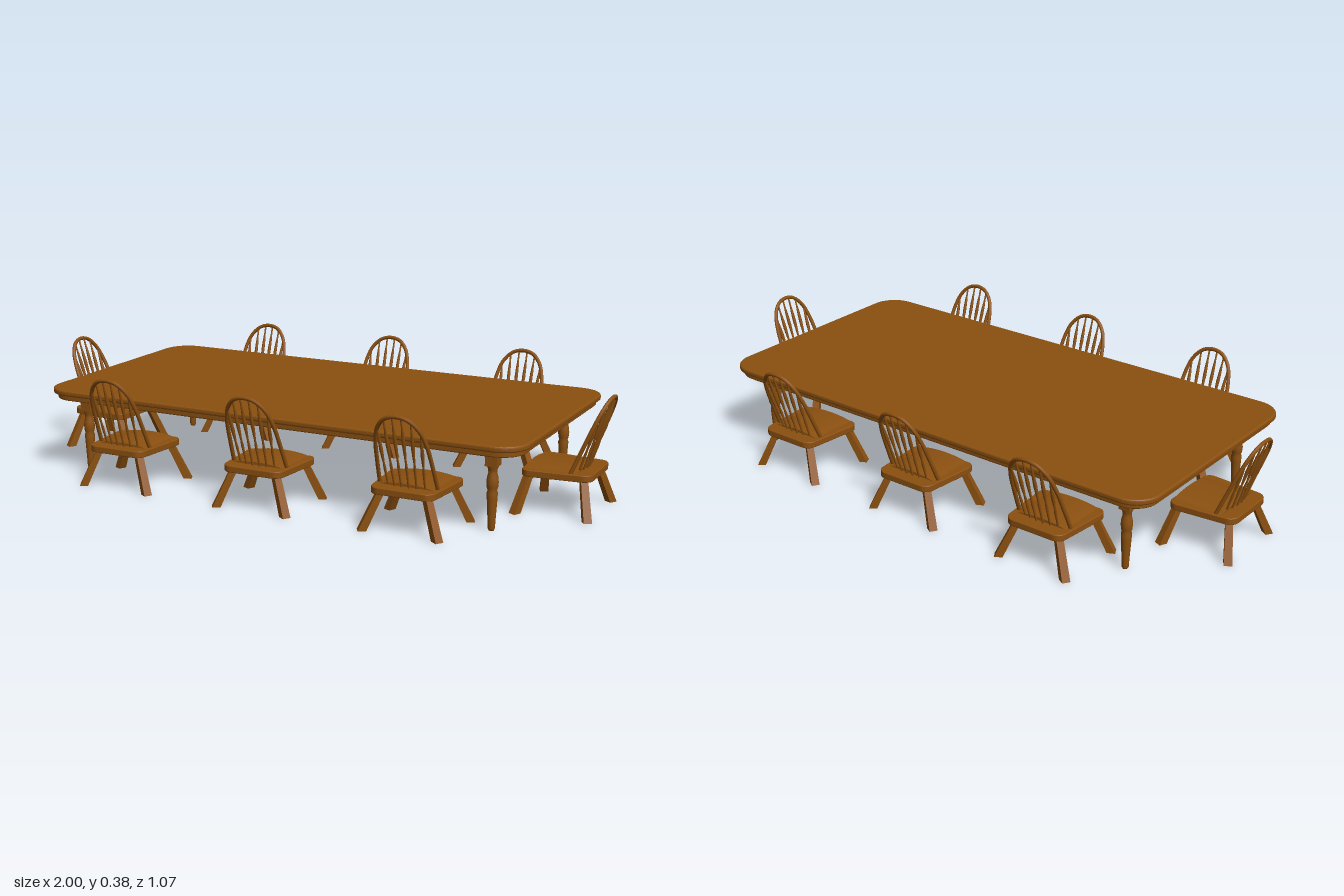
import * as THREE from 'three';

const wood = new THREE.MeshStandardMaterial({ color: 0x8b5010 });
const V = (x, y, z) => new THREE.Vector3(x, y, z);

function add(parent, name, geometry) {
  const mesh = new THREE.Mesh(geometry, wood);
  mesh.name = name;
  parent.add(mesh);
  return mesh;
}

// Rounded outline; back and front half widths may differ (y of the shape is -z)
function outline(front, back, hd, r) {
  const c = [[-back, -hd], [back, -hd], [front, hd], [-front, hd]].map(p => new THREE.Vector2(...p));
  const s = new THREE.Shape();
  c.forEach((p, i) => {
    const toward = q => p.clone().add(q.clone().sub(p).setLength(r));
    const a = toward(c[(i + 3) % 4]), b = toward(c[(i + 1) % 4]);
    if (i) s.lineTo(a.x, a.y); else s.moveTo(a.x, a.y);
    // near-circular corner
    const k = 0.55;
    const h1 = a.clone().lerp(p, k), h2 = b.clone().lerp(p, k);
    s.bezierCurveTo(h1.x, h1.y, h2.x, h2.y, b.x, b.y);
  });
  s.closePath();
  return s;
}

// Horizontal board from y0 to y1 with a rounded edge
function board(shape, y0, y1, bevel) {
  const g = new THREE.ExtrudeGeometry(shape, {
    depth: y1 - y0 - 2 * bevel, bevelEnabled: true, bevelThickness: bevel,
    bevelSize: bevel, bevelOffset: -bevel, bevelSegments: 3, curveSegments: 10,
  });
  return g.rotateX(-Math.PI / 2).translate(0, y0 + bevel, 0);
}

// Square leg slanting from foot to top, its ends cut level
function slantedLeg(foot, top, rFoot, rTop) {
  const h = top.y - foot.y;
  const g = new THREE.CylinderGeometry(rTop, rFoot, h, 4).toNonIndexed();
  g.rotateY(Math.PI / 4 + Math.atan2(foot.x - top.x, foot.z - top.z));
  const p = g.attributes.position;
  for (let i = 0; i < p.count; i++) {
    const t = p.getY(i) / h + 0.5;
    p.setXYZ(i, p.getX(i) + THREE.MathUtils.lerp(foot.x, top.x, t), foot.y + t * h,
      p.getZ(i) + THREE.MathUtils.lerp(foot.z, top.z, t));
  }
  g.computeVertexNormals();
  return g;
}

// Turned spindle between two points
function spindle(a, b) {
  const len = a.distanceTo(b);
  const profile = [[0.003, 0], [0.0035, 0.2], [0.0045, 0.3], [0.0032, 0.4], [0.0045, 0.5],
    [0.006, 0.62], [0.005, 0.76], [0.003, 0.88], [0.003, 1]]
    .map(([r, t]) => new THREE.Vector2(r, t * len));
  const g = new THREE.LatheGeometry(profile, 8);
  g.applyQuaternion(new THREE.Quaternion().setFromUnitVectors(V(0, 1, 0), b.clone().sub(a).normalize()));
  return g.translate(a.x, a.y, a.z);
}

// Chair with its back toward local +z
function chair(name) {
  const g = new THREE.Group();
  g.name = name;
  add(g, 'seat', board(outline(0.122, 0.102, 0.111, 0.03), 0.117, 0.139, 0.003));

  // Raised, gently domed top of the seat
  const dome = new THREE.Shape();
  dome.moveTo(-0.1, 0.136);
  dome.lineTo(0.1, 0.136);
  dome.quadraticCurveTo(0.06, 0.148, 0, 0.148);
  dome.quadraticCurveTo(-0.06, 0.148, -0.1, 0.136);
  add(g, 'seatDome', new THREE.ExtrudeGeometry(dome, { depth: 0.17, bevelEnabled: false, curveSegments: 8 })
    .translate(0, 0, -0.106));

  for (const s of [1, -1]) {
    add(g, 'frontLeg', slantedLeg(V(s * 0.136, 0, -0.117), V(s * 0.082, 0.122, -0.092), 0.0185, 0.016));
    add(g, 'rearLeg', slantedLeg(V(s * 0.123, 0, 0.111), V(s * 0.075, 0.122, 0.08), 0.0185, 0.016));
  }

  // Bent hoop of the back, leaning outward
  const lean = y => 0.045 + (y - 0.14) * 0.415;
  const half = [[0.095, 0.135], [0.09, 0.21], [0.082, 0.285], [0.066, 0.332], [0.036, 0.362]];
  const pts = [...half, [0, 0.37], ...half.map(([x, y]) => [-x, y]).reverse()];
  const hoop = new THREE.CatmullRomCurve3(pts.map(([x, y]) => V(x, y, lean(y))));
  add(g, 'backHoop', new THREE.TubeGeometry(hoop, 48, 0.0065, 8));

  // Six spindles fanning out to the hoop
  [[0.0145, 0.368], [0.0435, 0.357], [0.07, 0.325]].forEach(([x, y], i) => {
    const baseX = 0.012 + 0.024 * i;
    for (const s of [1, -1]) {
      add(g, 'backSpindle', spindle(V(s * baseX, 0.136, 0.07 - 3 * baseX * baseX), V(s * x, y, lean(y))));
    }
  });
  return g;
}

function table() {
  const g = new THREE.Group();
  g.name = 'table';
  add(g, 'tableTop', board(outline(0.847, 0.847, 0.423, 0.09), 0.268, 0.287, 0.006));
  add(g, 'tableTopMoulding', board(outline(0.833, 0.833, 0.41, 0.08), 0.25, 0.27, 0.004));

  // Turned legs under square blocks
  const profile = [[0, 0], [0.008, 0], [0.011, 0.006], [0.012, 0.03], [0.016, 0.1], [0.017, 0.118],
    [0.014, 0.126], [0.017, 0.134], [0.0185, 0.15], [0.017, 0.166], [0.0135, 0.18], [0.014, 0.19],
    [0.018, 0.2], [0.018, 0.206]].map(p => new THREE.Vector2(...p));
  for (const x of [-0.731, 0.731]) for (const z of [-0.327, 0.327]) {
    const leg = new THREE.Group();
    leg.name = 'tableLeg';
    leg.position.set(x, 0, z);
    add(leg, 'turnedLeg', new THREE.LatheGeometry(profile, 16));
    add(leg, 'legBlock', new THREE.BoxGeometry(0.038, 0.052, 0.038).translate(0, 0.228, 0));
    g.add(leg);
  }
  g.position.z = -0.003;
  return g;
}

export function createModel() {
  const model = new THREE.Group();
  model.name = 'diningSet';
  model.add(table());

  const place = (name, x, z, turn) => {
    const c = chair(name);
    c.position.set(x, 0, z);
    c.rotation.y = turn;
    model.add(c);
  };
  for (const x of [-0.508, 0, 0.508]) {
    place('frontChair', x, 0.39, 0);
    place('backChair', x, -0.39, Math.PI);
  }
  place('leftEndChair', 0.852, 0, Math.PI / 2);
  place('rightEndChair', -0.852, 0, -Math.PI / 2);
  return model;
}
